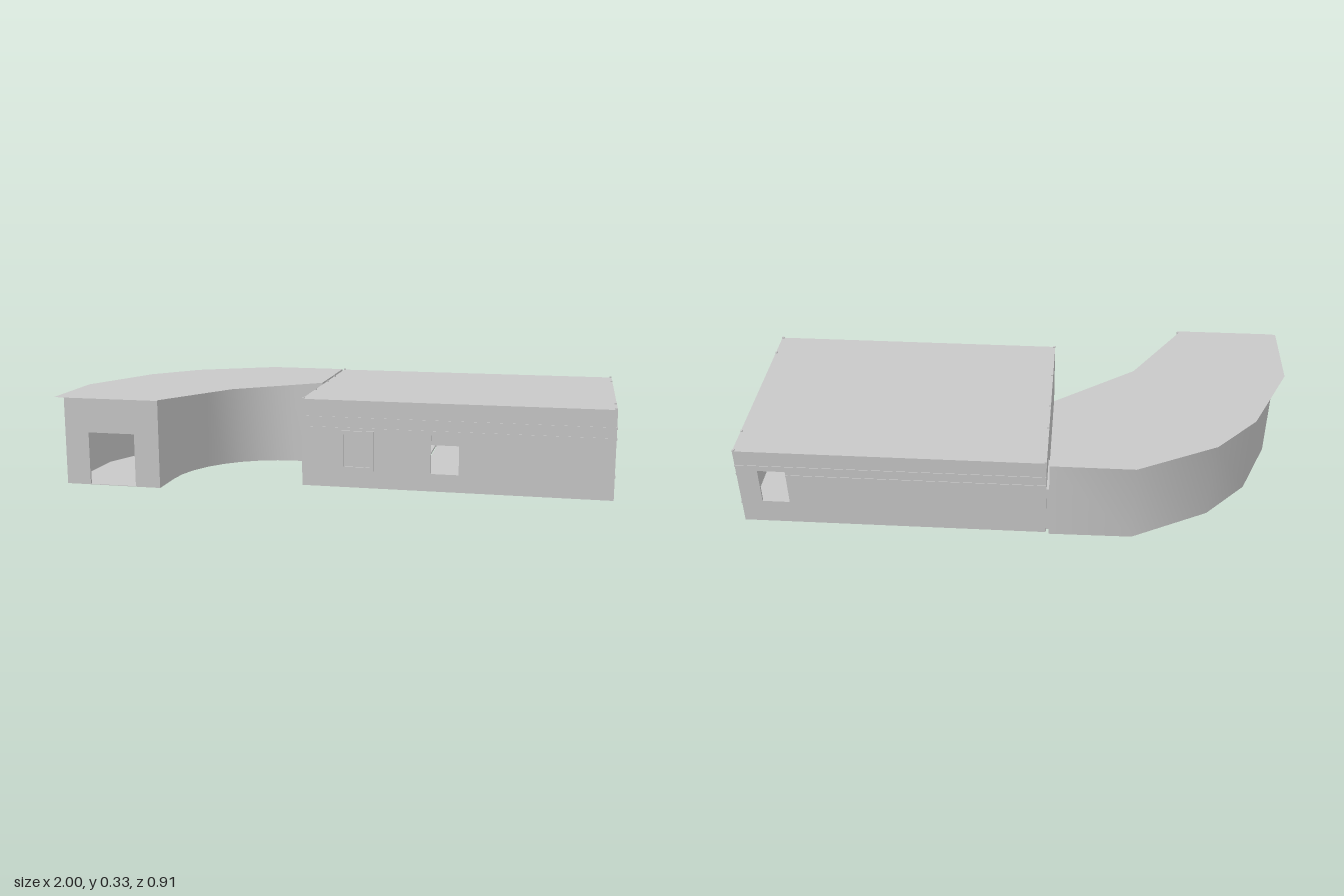
import * as THREE from 'three';

const T = 0.008; // wall thickness
const FLOOR = 0.006, TOP = 0.325;

export function createModel() {
  const model = new THREE.Group();
  const grey = new THREE.MeshStandardMaterial({ color: 0xc8c8c8, side: THREE.DoubleSide });
  grey.name = 'concreteGrey';

  const add = (name, geometry, parent) => {
    const mesh = new THREE.Mesh(geometry, grey);
    mesh.name = name;
    parent.add(mesh);
    return mesh;
  };

  // Box from its minimum and maximum corners
  const block = (name, parent, x0, x1, y0, y1, z0, z1) => {
    const mesh = add(name, new THREE.BoxGeometry(x1 - x0, y1 - y0, z1 - z0), parent);
    mesh.position.set((x0 + x1) / 2, (y0 + y1) / 2, (z0 + z1) / 2);
  };

  const rect = (Kind, a, b, c, d) => {
    const s = new Kind();
    s.moveTo(a, c);
    s.lineTo(b, c);
    s.lineTo(b, d);
    s.lineTo(a, d);
    s.closePath();
    return s;
  };

  // Upright panel with rectangular openings [a, b, y0, y1]
  const panel = (a, b, y0, y1, openings, depth = T) => {
    const shape = rect(THREE.Shape, a, b, y0, y1);
    openings.forEach(o => shape.holes.push(rect(THREE.Path, ...o)));
    return new THREE.ExtrudeGeometry(shape, { depth, bevelEnabled: false });
  };

  // Panel across x, starting at depth z
  const wallX = (name, parent, z, a, b, openings) => {
    add(name, panel(a, b, FLOOR, TOP, openings), parent).position.z = z;
  };

  // Panel across z, starting at x; openings are given in z
  const wallZ = (name, parent, x, a, b, openings = []) => {
    const flipped = openings.map(([p, q, y0, y1]) => [-q, -p, y0, y1]);
    const g = panel(-b, -a, FLOOR, TOP, flipped);
    g.rotateY(Math.PI / 2);
    add(name, g, parent).position.x = x;
  };

  // ---- Rectangular hall ----
  const hall = new THREE.Group();
  hall.name = 'hall';
  model.add(hall);
  const X0 = -0.11, X1 = 0.997, Z0 = -0.442, Z1 = 0.303;
  const doorway = [-0.42, -0.26, 0.008, 0.19];

  wallX('hallFrontWall', hall, Z1 - T, X0, X1, [[0.36, 0.46, 0.07, 0.21]]);
  wallX('hallBackWall', hall, Z0, X0, X1, [[0.82, 0.92, 0.1, 0.24]]);
  wallZ('hallLeftWall', hall, X1 - T, Z0 + T, Z1 - T);
  wallZ('hallRightWall', hall, X0, Z0 + T, Z1 - T, [doorway]);
  block('hallRoof', hall, X0 + T, X1 - T, TOP - T, TOP, Z0 + T, Z1 - T);

  // Floor slabs with narrow gaps between them
  const joints = [X0 + T, 0.29, 0.5, 0.71, X1 - T];
  for (let i = 0; i < 4; i++) {
    block('hallFloorSlab', hall, joints[i] + 0.004, joints[i + 1] - 0.004, FLOOR, FLOOR + T, Z0 + T, Z1 - T);
  }

  // Framed closed window on the front
  add('windowFrame', panel(0.03, 0.155, 0.07, 0.215, [[0.045, 0.14, 0.083, 0.202]], 0.006), hall)
    .position.z = Z1;

  // Horizontal seams around the walls
  for (const y of [0.26, 0.222]) {
    const band = [y - 0.004, y + 0.004];
    block('frontSeam', hall, X0, X1, ...band, Z1, Z1 + 0.002);
    block('backSeam', hall, X0, y > 0.24 ? X1 : 0.82, ...band, Z0 - 0.002, Z0);
  }
  for (const y of [0.26, 0.222, 0.09]) {
    block('endSeam', hall, X1, X1 + 0.002, y - 0.004, y + 0.004, Z0, Z1);
  }

  // Small tabs along the roof edges
  for (const z of [0.19, -0.325]) {
    block('leftRoofTab', hall, X1 - T, X1, TOP, 0.33, z - 0.004, z + 0.004);
  }
  for (const z of [0.1, -0.1, -0.235]) {
    block('rightRoofTab', hall, X0, X0 + T, TOP, 0.33, z - 0.004, z + 0.004);
  }
  for (const x of [X0, X1 - T]) for (const z of [Z0, Z1 - T]) {
    block('cornerTab', hall, x, x + T, TOP, 0.33, z, z + T);
  }
  block('bottomTab', hall, 0.186, 0.194, 0, FLOOR, -0.104, -0.096);

  // ---- Curved corridor ----
  const corridor = new THREE.Group();
  corridor.name = 'curvedCorridor';
  model.add(corridor);

  // Wall paths as [x, z] points, from the front to the hall
  const outer = [
    [-0.96, 0.45], [-0.95, 0.1], [-0.85, -0.14], [-0.7, -0.3], [-0.42, -0.447], [-0.12, -0.45],
  ];
  const inner = [[-0.602, 0.45]];
  for (let i = 0; i <= 8; i++) {
    const a = (i / 8) * Math.PI / 2;
    inner.push([-0.23 - 0.372 * Math.cos(a), 0.31 - 0.38 * Math.sin(a)]);
  }
  inner.push([-0.12, -0.07]);
  const outerReversed = [...outer].reverse();

  // Smooth upright sheet along a path
  const ribbon = (name, pts) => {
    const pos = [], idx = [];
    pts.forEach(([x, z], i) => {
      pos.push(x, FLOOR, z, x, TOP, z);
      if (i) {
        const k = 2 * i;
        idx.push(k - 2, k, k - 1, k, k + 1, k - 1);
      }
    });
    const g = new THREE.BufferGeometry();
    g.setAttribute('position', new THREE.Float32BufferAttribute(pos, 3));
    g.setIndex(idx);
    g.computeVertexNormals();
    add(name, g, corridor);
  };
  ribbon('corridorInnerWall', inner);
  // Reversed so its front side faces outward
  ribbon('corridorOuterWall', outerReversed);

  // Flat sheet from an [x, z] outline
  const sheet = (name, pts, y) => {
    const g = new THREE.ShapeGeometry(new THREE.Shape(pts.map(([x, z]) => new THREE.Vector2(x, -z))));
    g.rotateX(-Math.PI / 2);
    add(name, g, corridor).position.y = y;
  };
  sheet('corridorRoof', [
    [-1, 0.45], [-0.615, 0.45], [-0.42, 0.15], [-0.12, -0.07], [-0.12, -0.455],
    [-0.42, -0.455], [-0.71, -0.31], [-0.86, -0.15], [-1, 0.15],
  ], TOP);
  sheet('corridorFloor', [...inner, ...outerReversed], FLOOR);

  // End walls with doorways
  wallX('corridorFrontWall', corridor, 0.452 - T, -0.96, -0.602, [[-0.87, -0.695, 0.008, 0.2]]);
  wallZ('corridorEndWall', corridor, -0.12 - T, -0.45, -0.07, [doorway]);

  // Short door sleeve joining corridor and hall
  const sleeve = new THREE.Group();
  sleeve.name = 'doorSleeve';
  model.add(sleeve);
  for (const z of [-0.424, -0.26]) {
    block('sleeveSide', sleeve, -0.12, X0, FLOOR, 0.194, z, z + 0.004);
  }
  block('sleeveTop', sleeve, -0.12, X0, 0.19, 0.194, -0.42, -0.26);
  block('sleeveFloor', sleeve, -0.12, X0, FLOOR, 0.008, -0.42, -0.26);

  return model;
}
